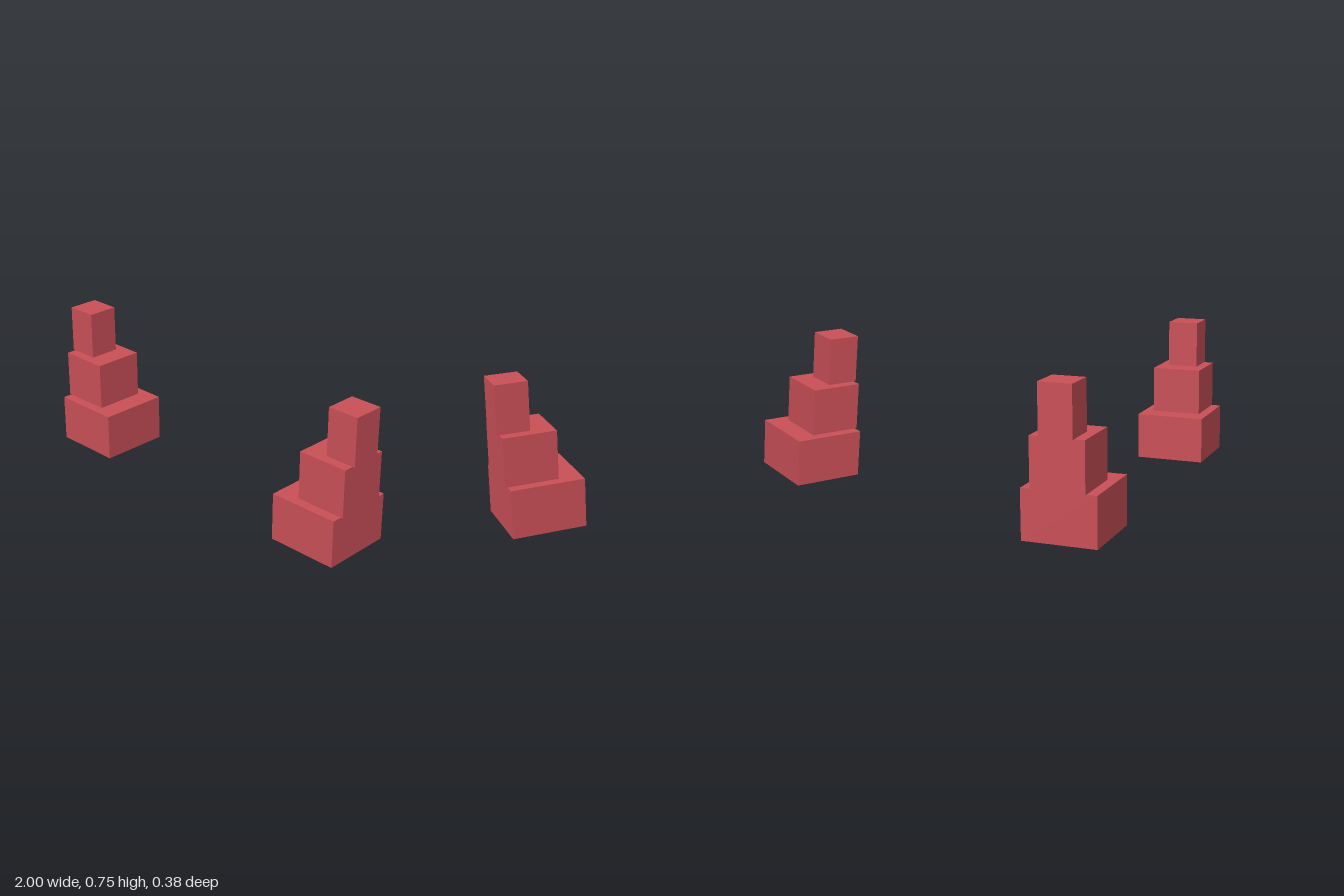
import * as THREE from 'three';

export function createModel() {
  const model = new THREE.Group();
  model.name = 'steppedShoulderPair';

  const red = new THREE.MeshStandardMaterial({ color: 0xc94f57 });
  red.name = 'red';

  // Stacked blocks, each smaller and reaching slightly further outward
  const blockHeight = 0.25;
  const tiers = [
    { name: 'LowerBlock', size: 0.375, outer: 0.976 },
    { name: 'MiddleBlock', size: 0.27, outer: 0.987 },
    { name: 'UpperBlock', size: 0.166, outer: 1 },
  ];

  // Mirrored stacks on both sides
  for (const [side, sign] of [['left', 1], ['right', -1]]) {
    const stack = new THREE.Group();
    stack.name = side + 'Stack';
    tiers.forEach(({ name, size, outer }, i) => {
      const block = new THREE.Mesh(new THREE.BoxGeometry(size, blockHeight, size), red);
      block.name = side + name;
      block.position.set(sign * (outer - size / 2), blockHeight * (i + 0.5), 0);
      stack.add(block);
    });
    model.add(stack);
  }

  return model;
}
